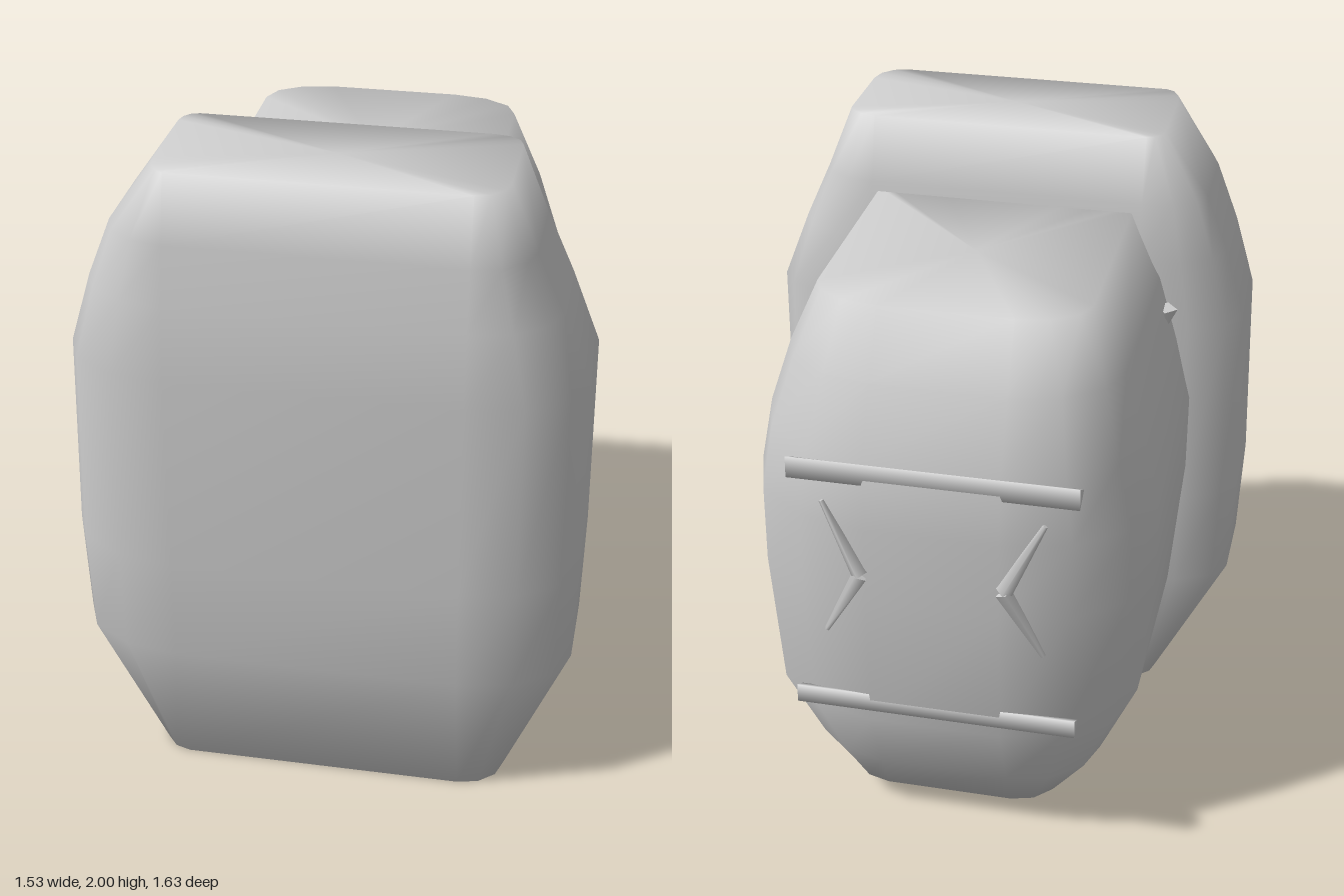
import * as THREE from 'three';

const material = new THREE.MeshStandardMaterial({ color: 0xcccccc, roughness: 0.8 });

// Closed smooth shell from stacked rounded rectangles.
// layers: [y, xMin, xMax, zMin, zMax]; core: inner rectangle where the corner arcs are centred.
function roundedShell(name, layers, core, steps = 3) {
  const positions = [];
  const index = [];
  const corners = [[1, 1], [-1, 1], [-1, -1], [1, -1]];
  const n = 4 * (steps + 1);
  for (const [y, xMin, xMax, zMin, zMax] of layers) {
    corners.forEach(([sx, sz], q) => {
      const cx = sx > 0 ? core.xMax : core.xMin;
      const cz = sz > 0 ? core.zMax : core.zMin;
      const rx = Math.abs((sx > 0 ? xMax : xMin) - cx);
      const rz = Math.abs((sz > 0 ? zMax : zMin) - cz);
      for (let i = 0; i <= steps; i++) {
        const a = (q + i / steps) * Math.PI / 2;
        positions.push(cx + rx * Math.cos(a), y, cz + rz * Math.sin(a));
      }
    });
  }
  for (let l = 0; l < layers.length - 1; l++) {
    for (let i = 0; i < n; i++) {
      const a = l * n + i;
      const b = l * n + (i + 1) % n;
      index.push(a, a + n, b, b, a + n, b + n);
    }
  }
  // end caps
  const last = layers.length - 1;
  for (const l of [0, last]) {
    const [y, xMin, xMax, zMin, zMax] = layers[l];
    const centre = positions.length / 3;
    positions.push((xMin + xMax) / 2, y, (zMin + zMax) / 2);
    for (let i = 0; i < n; i++) {
      const a = l * n + i;
      const b = l * n + (i + 1) % n;
      if (l === last) index.push(centre, b, a);
      else index.push(centre, a, b);
    }
  }
  const geometry = new THREE.BufferGeometry();
  geometry.setAttribute('position', new THREE.Float32BufferAttribute(positions, 3));
  geometry.setIndex(index);
  geometry.computeVertexNormals();
  const mesh = new THREE.Mesh(geometry, material);
  mesh.name = name;
  return mesh;
}

// Tapered few-sided rod between two points.
function rod(name, from, to, r0, r1, sides = 3) {
  const a = new THREE.Vector3(...from);
  const b = new THREE.Vector3(...to);
  const mesh = new THREE.Mesh(new THREE.CylinderGeometry(r1, r0, a.distanceTo(b), sides), material);
  mesh.position.copy(a).add(b).multiplyScalar(0.5);
  mesh.quaternion.setFromUnitVectors(new THREE.Vector3(0, 1, 0), b.clone().sub(a).normalize());
  mesh.name = name;
  return mesh;
}

export function createModel() {
  const model = new THREE.Group();
  model.name = 'model';

  // tall rounded slab at the front
  model.add(roundedShell('frontSlab', [
    [0, -0.525, 0.56, 0.24, 0.715],
    [0.45, -0.755, 0.755, 0.185, 0.81],
    [0.78, -0.77, 0.765, 0.175, 0.815],
    [1.4, -0.755, 0.765, 0.185, 0.81],
    [1.62, -0.69, 0.68, 0.18, 0.78],
    [1.8, -0.62, 0.6, 0.22, 0.745],
    [2, -0.48, 0.52, 0.27, 0.70],
  ], { xMin: -0.43, xMax: 0.43, zMin: 0.33, zMax: 0.6 }));

  // rounded pod behind it
  model.add(roundedShell('rearPod', [
    [0.08, -0.34, 0.34, -0.6, 0.26],
    [0.22, -0.46, 0.45, -0.67, 0.27],
    [0.46, -0.57, 0.57, -0.775, 0.28],
    [0.9, -0.61, 0.61, -0.79, 0.28],
    [1.15, -0.61, 0.61, -0.79, 0.28],
    [1.36, -0.56, 0.57, -0.77, 0.28],
    [1.57, -0.5, 0.5, -0.675, 0.27],
    [1.77, -0.4, 0.41, -0.58, 0.26],
  ], { xMin: -0.2, xMax: 0.2, zMin: -0.45, zMax: 0.24 }));

  // bars across the back, half sunk into the pod
  model.add(rod('upperBar', [-0.43, 1.325, -0.755], [0.43, 1.325, -0.755], 0.04, 0.04));
  model.add(rod('lowerBar', [-0.43, 0.525, -0.76], [0.43, 0.525, -0.76], 0.035, 0.035));

  // inward-pointing chevrons and small side studs, mirrored
  for (const side of [-1, 1]) {
    const chevron = new THREE.Group();
    chevron.name = side > 0 ? 'leftChevron' : 'rightChevron';
    for (const endY of [1.22, 0.77]) {
      chevron.add(rod('chevronArm', [side * 0.215, 0.995, -0.79], [side * 0.33, endY, -0.765], 0.026, 0.008, 4));
    }
    model.add(chevron);
    model.add(rod(side > 0 ? 'leftStud' : 'rightStud',
      [side * 0.53, 1.49, 0.15], [side * 0.525, 1.425, 0.155], 0.035, 0.01, 4));
  }
  return model;
}
